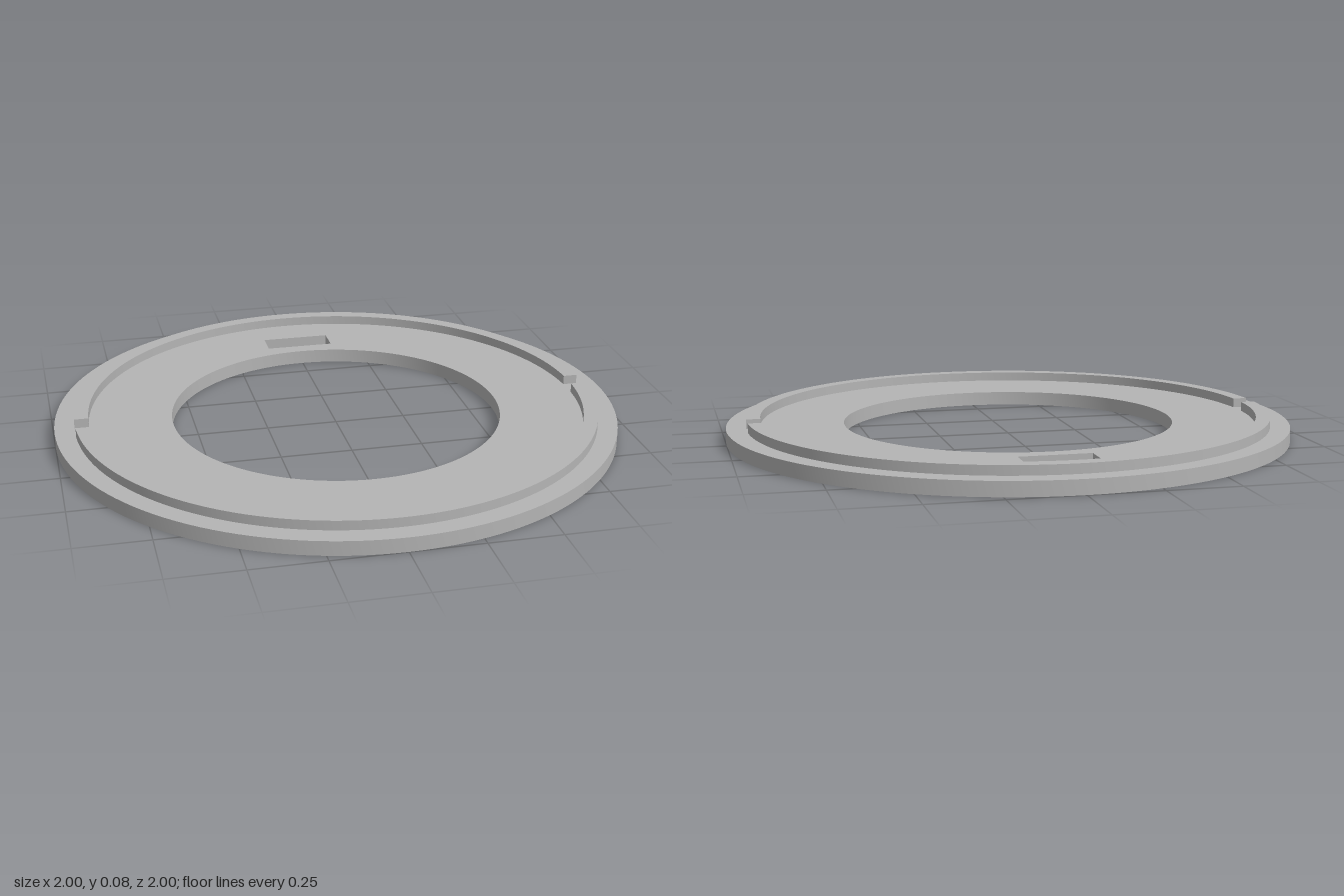
import * as THREE from 'three';
import { toCreasedNormals } from 'three/addons/utils/BufferGeometryUtils.js';

const OUTER = 1, BORE = 0.587;          // flange radii
const BASE_H = 0.05, LIP_H = 0.033;     // heights of flange and raised lip
const LIP_OUT = 0.93, LIP_IN = 0.88;    // lip radii
const GAP = 0.038;                      // half the gap between the lip halves

// Extrude a plan shape upward from height y; plan +y points to the back
function slab(shape, height, y) {
  const geo = new THREE.ExtrudeGeometry(shape, { depth: height, bevelEnabled: false, curveSegments: 72 });
  geo.rotateX(-Math.PI / 2);
  geo.translate(0, y, 0);
  return toCreasedNormals(geo, Math.PI / 6);
}

export function createModel() {
  const group = new THREE.Group();
  const grey = new THREE.MeshStandardMaterial({ color: 0xb4b4b4 });
  grey.name = 'plain grey';

  const add = (name, geo) => {
    const mesh = new THREE.Mesh(geo, grey);
    mesh.name = name;
    group.add(mesh);
    return mesh;
  };

  // Flat flange with a round bore and a rectangular slot at the back
  const flange = new THREE.Shape().absarc(0, 0, OUTER, 0, Math.PI * 2);
  flange.holes.push(new THREE.Path().absarc(0, 0, BORE, 0, Math.PI * 2, true));
  flange.holes.push(new THREE.Path([
    [-0.125, 0.642], [-0.125, 0.738], [0.125, 0.738], [0.125, 0.642],
  ].map(([x, y]) => new THREE.Vector2(x, y))));
  add('flange', slab(flange, BASE_H, 0));

  // Two raised lip halves, with ends cut square to the sides
  const a = Math.asin(GAP / LIP_OUT), b = Math.asin(GAP / LIP_IN);
  const half = new THREE.Shape();
  half.absarc(0, 0, LIP_OUT, a, Math.PI - a, false);
  half.absarc(0, 0, LIP_IN, Math.PI - b, b, true);
  half.closePath();
  const lip = slab(half, LIP_H, BASE_H);
  add('backLip', lip);
  add('frontLip', lip).rotation.y = Math.PI;

  return group;
}
